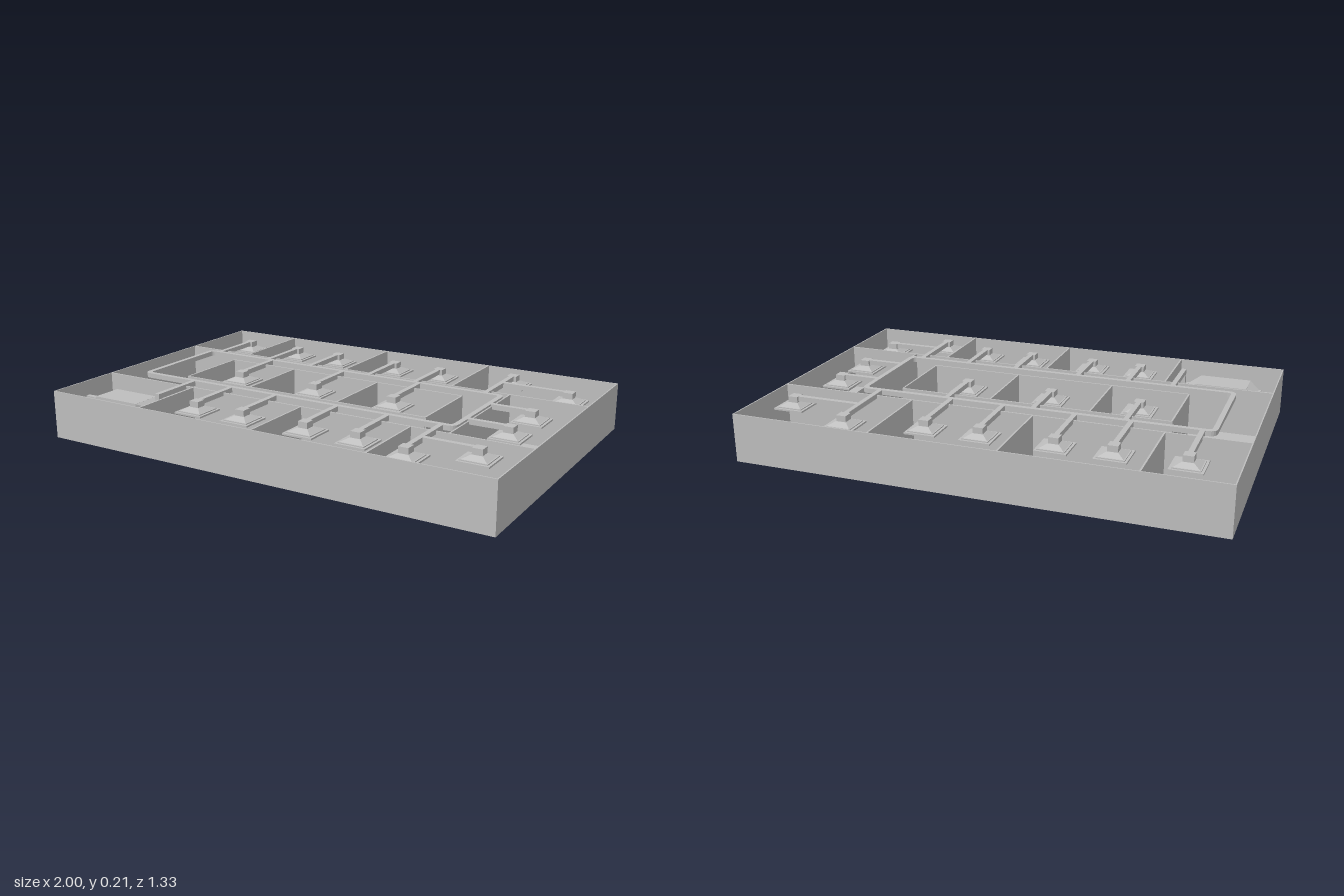
import * as THREE from 'three';

export function createModel() {
  const root = new THREE.Group();
  const grey = new THREE.MeshStandardMaterial({ color: 0xbebebe });
  grey.name = 'plain grey';
  const WALL = 0.205, DUCT_TOP = 0.213, DUCT = 0.021;

  // Box given by its limits on each axis
  function box(name, x0, x1, y0, y1, z0, z1, parent = root) {
    const m = new THREE.Mesh(new THREE.BoxGeometry(x1 - x0, y1 - y0, z1 - z0), grey);
    m.position.set((x0 + x1) / 2, (y0 + y1) / 2, (z0 + z1) / 2);
    m.name = name;
    parent.add(m);
    return m;
  }
  // Square frustum, sides aligned with the axes
  function frustum(top, bottom, height) {
    const g = new THREE.CylinderGeometry(top * Math.SQRT1_2, bottom * Math.SQRT1_2, height, 4).toNonIndexed();
    g.rotateY(Math.PI / 4);
    g.computeVertexNormals();
    return g;
  }

  // Floor and outer walls
  box('floor', -1, 1, 0, 0.004, -0.667, 0.667);
  const t = 0.005;
  for (const s of [-1, 1]) {
    const x = s * (1 - t / 2), z = s * (0.667 - t / 2);
    box('outerSideWall', x - t / 2, x + t / 2, 0, WALL, -0.667, 0.667);
    box('outerLongWall', -1, 1, 0, WALL, z - t / 2, z + t / 2);
  }

  // Room partitions
  const h = 0.0035;
  const wallX = (x, z0, z1) => box('partition', x - h, x + h, 0, WALL, z0, z1);
  const wallZ = (z, x0, x1) => box('partition', x0, x1, 0, WALL, z - h, z + h);
  wallZ(-0.27, -0.997, 0.997);
  wallZ(0.32, -0.997, 0.997);
  for (const x of [-0.665, -0.13, 0.4]) wallX(x, -0.664, -0.27);
  for (const x of [-0.533, 0.012, 0.503]) wallX(x, 0.32, 0.664);
  wallX(0.663, -0.27, 0.32);
  for (const x of [-0.665, -0.33, 0.1, 0.5]) wallX(x, -0.15, 0.19);
  for (const z of [-0.15, 0.19]) wallZ(z, -0.665, 0.5);

  // Main duct ring with rounded corners
  function roundRect(target, x0, x1, z0, z1, r) {
    target.moveTo(x0 + r, z0);
    target.lineTo(x1 - r, z0);
    target.quadraticCurveTo(x1, z0, x1, z0 + r);
    target.lineTo(x1, z1 - r);
    target.quadraticCurveTo(x1, z1, x1 - r, z1);
    target.lineTo(x0 + r, z1);
    target.quadraticCurveTo(x0, z1, x0, z1 - r);
    target.lineTo(x0, z0 + r);
    target.quadraticCurveTo(x0, z0, x0 + r, z0);
    return target;
  }
  const ring = roundRect(new THREE.Shape(), -0.855, 0.66, -0.225, 0.262, 0.035);
  ring.holes.push(roundRect(new THREE.Path(), -0.834, 0.639, -0.204, 0.241, 0.018));
  const ringGeo = new THREE.ExtrudeGeometry(ring, { depth: DUCT, bevelEnabled: false, curveSegments: 5 });
  ringGeo.rotateX(Math.PI / 2);
  const ringMesh = new THREE.Mesh(ringGeo, grey);
  ringMesh.position.y = DUCT_TOP;
  ringMesh.name = 'mainDuct';
  root.add(ringMesh);

  // Straight branch ducts
  const d = DUCT / 2;
  const ductZ = (x, a, b) =>
    box('branchDuct', x - d, x + d, DUCT_TOP - DUCT, DUCT_TOP, Math.min(a, b), Math.max(a, b));
  const ductX = (z, a, b) =>
    box('branchDuct', a, b, DUCT_TOP - DUCT, DUCT_TOP, z - d, z + d);

  // Air diffuser: stepped square plate, sloped hood and neck
  const hoodGeo = frustum(0.045, 0.1, 0.014);
  function diffuser(x, z) {
    const g = new THREE.Group();
    g.name = 'diffuser';
    g.position.set(x, 0, z);
    box('plate', -0.065, 0.065, 0.163, 0.17, -0.065, 0.065, g);
    box('plateStep', -0.055, 0.055, 0.17, 0.174, -0.055, 0.055, g);
    const hood = new THREE.Mesh(hoodGeo, grey);
    hood.position.y = 0.181;
    hood.name = 'hood';
    g.add(hood);
    box('neck', -0.021, 0.021, 0.185, DUCT_TOP, -0.021, 0.021, g);
    root.add(g);
  }

  // Branches leaving the ring along z: x, start z, diffuser z
  const runs = [
    ...[-0.8, -0.52, -0.29, 0.015, 0.245].map((x) => [x, -0.215, -0.47]),
    [0.572, -0.215, -0.535],
    ...[-0.495, -0.11, 0.27].map((x) => [x, -0.215, 0.02]),
    ...[-0.382, -0.155, 0.14, 0.37].map((x) => [x, 0.252, 0.485]),
    [0.6, 0.252, 0.545],
  ];
  for (const [x, a, b] of runs) {
    ductZ(x, a, b);
    diffuser(x, b);
  }
  // Branches along x: z, start x, diffuser x
  for (const [z, a, b] of [[-0.405, 0.572, 0.872], [-0.085, 0.65, 0.83], [0.14, 0.65, 0.83], [0.425, 0.6, 0.83]]) {
    ductX(z, a, b);
    diffuser(b, z);
  }

  // Air handling unit with tapered ends
  const unit = new THREE.Group();
  unit.name = 'airUnit';
  unit.position.set(-0.76, 0.135, 0.49);
  root.add(unit);
  box('unitBody', -0.11, 0.11, -0.038, 0.038, -0.065, 0.065, unit);
  const taperGeo = frustum(0.045, 0.13, 0.045);
  taperGeo.rotateZ(-Math.PI / 2);
  taperGeo.scale(1, 0.58, 1);
  for (const s of [-1, 1]) {
    const taper = new THREE.Mesh(taperGeo, grey);
    taper.position.x = s * 0.1325;
    if (s < 0) taper.rotation.y = Math.PI;
    taper.name = 'unitTaper';
    unit.add(taper);
    const a = s * 0.155, b = s * 0.166, c = s * 0.222;
    box('unitCollar', Math.min(a, b), Math.max(a, b), -0.014, 0.014, -0.021, 0.021, unit);
    box('unitDuct', Math.min(b, c), Math.max(b, c), -d, d, -d, d, unit);
  }

  // Feed from the unit up to the ring
  ductZ(-0.58, 0.252, 0.5);
  box('riser', -0.58 - d, -0.58 + d, 0.125, DUCT_TOP - DUCT, 0.48, 0.5);

  return root;
}
